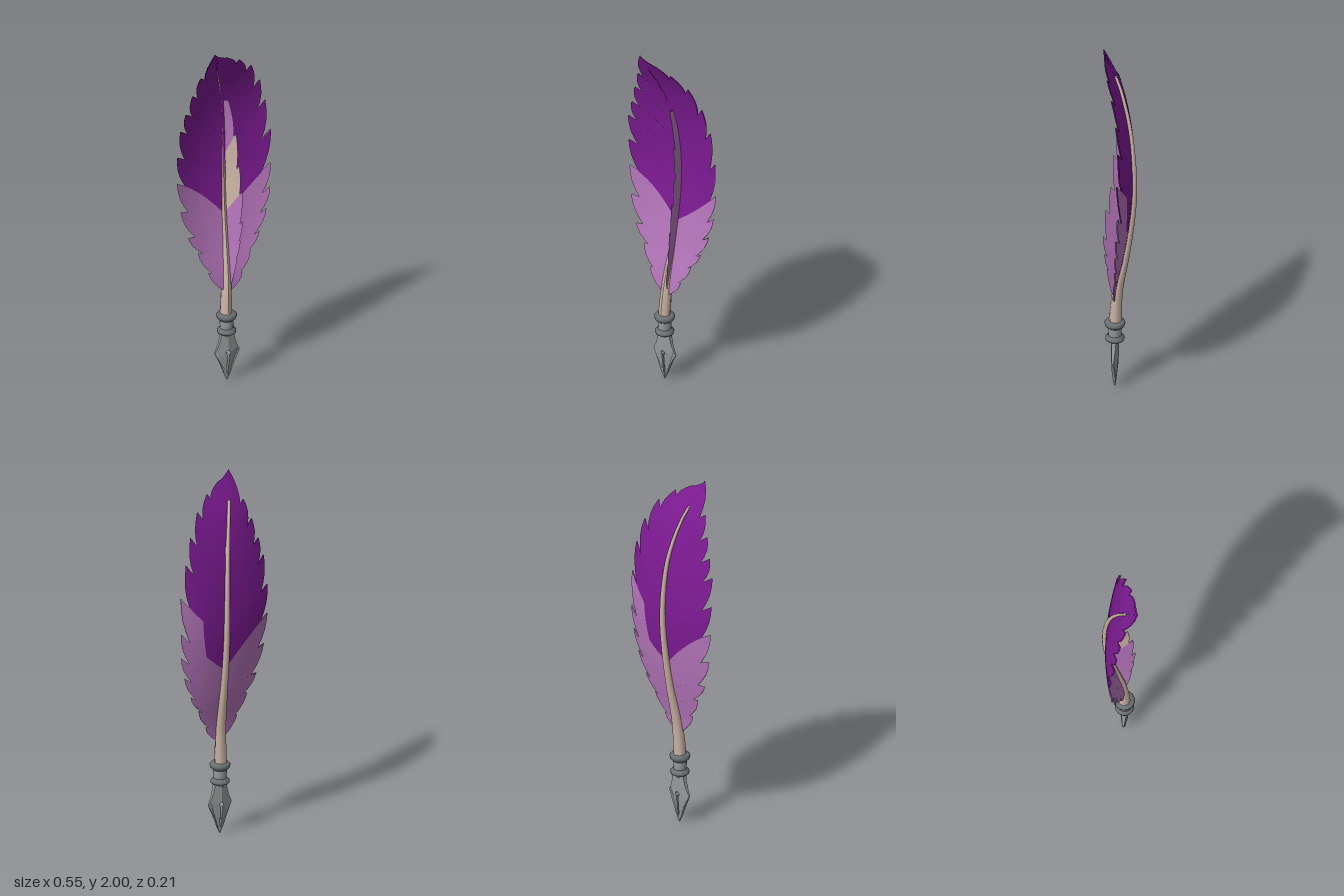
import * as THREE from 'three';
import { mergeGeometries } from 'three/addons/utils/BufferGeometryUtils.js';

// Spine of the feather, sampled every 0.2 from y = 0.2
const SPINE_X = [-0.01, -0.012, -0.004, 0.005, 0.01, 0.014, 0.01, -0.008, -0.05, -0.11];
const SPINE_Z = [0.02, 0.02, 0.005, -0.035, -0.066, -0.084, -0.08, -0.056, 0, 0.092];

function smooth(table, y) {
  const f = THREE.MathUtils.clamp((y - 0.2) / 0.2, 0, table.length - 1.001);
  const i = Math.floor(f), t = f - i, at = (k) => table[THREE.MathUtils.clamp(k, 0, table.length - 1)];
  const a = at(i), b = at(i + 1), m = (b - at(i - 1)) / 2, n = (at(i + 2) - a) / 2;
  return a + t * (m + t * (3 * (b - a) - 2 * m - n + t * (2 * (a - b) + m + n)));
}
const spineX = (y) => smooth(SPINE_X, y);
const spineZ = (y) => smooth(SPINE_Z, y);

// Cupped vane: towards the top the left half flattens and the right half comes forward
function vaneZ(x, y) {
  const d = x - spineX(y);
  const flat = THREE.MathUtils.clamp((1.9 - y) / 0.5, 0, 1);
  const forward = THREE.MathUtils.clamp((y - 1.3) / 0.4, 0, 1);
  const cup = d > 0 ? -0.08 * d + 0.75 * flat * d * d : 0.6 * d * d - 0.1 * forward * d;
  return spineZ(y) + 0.01 + cup;
}

// Barbs: tip offset, tip height, height where the upper edge leaves the spine
const RIGHT_BARBS = [
  [-0.11, 0.65, 0.6], [-0.16, 0.77, 0.68], [-0.215, 0.87, 0.78], [-0.255, 1.03, 0.87], [-0.272, 1.2, 0.95],
  [-0.274, 1.36, 1.1], [-0.264, 1.52, 1.25], [-0.237, 1.62, 1.38], [-0.205, 1.73, 1.5], [-0.168, 1.84, 1.66],
  [-0.112, 2, 1.99],
];
const LEFT_BARBS = [
  [0.085, 0.62, 0.6], [0.14, 0.73, 0.67], [0.195, 0.82, 0.75], [0.24, 0.94, 0.82], [0.265, 1.06, 0.89],
  [0.272, 1.2, 0.95], [0.272, 1.4, 1.12], [0.24, 1.58, 1.3], [0.2, 1.72, 1.48], [0.135, 1.84, 1.62],
  [0.05, 1.91, 1.76], [-0.03, 1.95, 1.99],
];
const FIN_BARBS = [
  [0.055, 0.74, 0.62], [0.066, 0.84, 0.7], [0.072, 0.95, 0.8], [0.058, 1.12, 0.95],
  [0.03, 1.26, 1.1], [0.018, 1.45, 1.28], [0.002, 1.65, 1.63],
];

// Surface patch from a rule fn(s, t)
function grid(fn, s0, s1, flip) {
  const nu = 4, nv = 4, pos = [], idx = [];
  for (let j = 0; j <= nv; j++) {
    for (let i = 0; i <= nu; i++) pos.push(...fn(s0 + ((s1 - s0) * i) / nu, j / nv));
  }
  for (let j = 0; j < nv; j++) {
    for (let i = 0; i < nu; i++) {
      const a = j * (nu + 1) + i, b = a + 1, c = b + nu + 1, d = a + nu + 1;
      if (flip) idx.push(a, c, b, a, d, c);
      else idx.push(a, b, c, a, c, d);
    }
  }
  const g = new THREE.BufferGeometry();
  g.setAttribute('position', new THREE.Float32BufferAttribute(pos, 3));
  g.setIndex(idx);
  g.computeVertexNormals();
  return g;
}

// Each barb starts on the previous barb's curved upper edge and ends in a free tip, leaving a slit
function barbRules(barbs, rootOf, start, bulge, sag) {
  const mix = (a, b, t) => [a[0] + (b[0] - a[0]) * t, a[1] + (b[1] - a[1]) * t];
  let previous = (s) => mix([rootOf(start[1]), start[1]], start, s);
  return barbs.map(([x, y, root]) => {
    const below = previous, rootPoint = [rootOf(root), root];
    const droop = sag * Math.min(1, Math.abs(x - rootPoint[0]) / 0.2);
    const upper = (s) => {
      const p = mix(rootPoint, [x, y], s);
      p[1] -= droop * s * (1 - s);
      return p;
    };
    previous = upper;
    return (s, t) => {
      const p = mix(below(0.82 * s), upper(s), t);
      p[0] += bulge * s * s * Math.sin(Math.PI * t);
      return p;
    };
  });
}

export function createModel() {
  const model = new THREE.Group();
  const material = (name, color, side) => {
    const m = new THREE.MeshStandardMaterial({ color, side });
    m.name = name;
    return m;
  };
  const darkPurple = material('dark purple', 0x7e1b94, THREE.DoubleSide);
  const lightPurple = material('light purple', 0xb676bc, THREE.DoubleSide);
  const ivory = material('ivory shaft', 0xcdb5a6, THREE.DoubleSide);
  const steel = material('steel', 0x989b9c, THREE.DoubleSide);
  const darkSteel = material('dark steel', 0x6c7375, THREE.DoubleSide);
  const add = (name, geometry, mat) => {
    const mesh = new THREE.Mesh(geometry, mat);
    mesh.name = name;
    model.add(mesh);
  };

  // Vanes: front and back skins, coloured barb by barb
  const dark = [], light = [];
  for (const [barbs, side, sag] of [[RIGHT_BARBS, -1, -0.1], [LEFT_BARBS, 1, 0.06]]) {
    barbRules(barbs, spineX, [side * 0.025, 0.53], side * 0.016, sag).forEach((rule, i) => {
      const skin = (lift) => (s, t) => {
        const [x, y] = rule(s, t);
        return [x, y, vaneZ(x, y) + lift];
      };
      const tipY = barbs[i][1], pale = tipY <= 1.2;
      const paleEdge = side > 0 && tipY < 1.5;
      for (const [s0, s1] of [[0, 0.55], [0.55, 1]]) {
        (pale ? light : dark).push(grid(skin(0.003), s0, s1, side < 0));
        (pale || (paleEdge && s0 > 0) ? light : dark).push(grid(skin(-0.003), s0, s1, side > 0));
      }
    });
  }
  add('upperVane', mergeGeometries(dark), darkPurple);
  add('lowerVane', mergeGeometries(light), lightPurple);

  // Narrow fringe standing forward of the shaft, leaning left, with an ivory stretch inside
  const fringe = [], fringeIvory = [];
  barbRules(FIN_BARBS, spineZ, [0.03, 0.55], 0.006, 0).forEach((rule, i) => {
    const skin = (shift) => (s, t) => {
      const [z, y] = rule(s, t);
      return [spineX(y) + 0.01 + 0.3 * (z - spineZ(y)) + shift, y, z];
    };
    const isIvory = i === 4 || i === 5;
    (isIvory ? fringeIvory : fringe).push(grid(skin(-0.002), 0, 1, false));
    fringe.push(grid(skin(0.002), 0, 1, true));
  });
  add('frontFringe', mergeGeometries(fringe), lightPurple);
  add('frontFringeInner', mergeGeometries(fringeIvory), ivory);

  // Tapered shaft bent along the spine
  const shaft = new THREE.CylinderGeometry(1, 1, 1.5, 8, 24);
  shaft.translate(0, 1.11, 0);
  const sp = shaft.attributes.position;
  for (let i = 0; i < sp.count; i++) {
    const y = sp.getY(i);
    const r = y < 0.85 ? THREE.MathUtils.mapLinear(y, 0.36, 0.85, 0.035, 0.02)
      : THREE.MathUtils.mapLinear(y, 0.85, 1.86, 0.02, 0.008);
    sp.setXYZ(i, spineX(y) + sp.getX(i) * r, y, spineZ(y) + sp.getZ(i) * r);
  }
  shaft.computeVertexNormals();
  add('shaft', shaft, ivory);

  // Ferrule with two collars
  const lathe = (points) =>
    new THREE.LatheGeometry(points.map(([r, y]) => new THREE.Vector2(r, y)), 16).translate(-0.01, 0, 0.022);
  add('ferrule', lathe([[0.001, 0.25], [0.018, 0.26], [0.034, 0.29], [0.036, 0.34], [0.038, 0.39]]), steel);
  add('lowerCollar', lathe([[0.034, 0.28], [0.049, 0.287], [0.051, 0.3], [0.036, 0.315]]), darkSteel);
  add('upperCollar', lathe([[0.036, 0.36], [0.051, 0.373], [0.055, 0.39], [0.045, 0.402], [0.02, 0.402]]), darkSteel);

  // Nib: a plate thick along its middle and thin at its edges, with a breather hole and slit
  const plate = new THREE.Shape();
  plate.moveTo(0, 0);
  plate.lineTo(0.02, 0.045);
  plate.quadraticCurveTo(0.035, 0.1, 0.072, 0.17);
  plate.quadraticCurveTo(0.042, 0.22, 0.034, 0.29);
  plate.lineTo(0, 0.295);
  plate.lineTo(-0.034, 0.29);
  plate.quadraticCurveTo(-0.042, 0.22, -0.072, 0.17);
  plate.quadraticCurveTo(-0.035, 0.1, -0.02, 0.045);
  plate.closePath();
  const slit = new THREE.Path();
  slit.moveTo(-0.003, 0.04);
  slit.lineTo(-0.006, 0.155);
  slit.absarc(0, 0.168, 0.013, Math.PI * 1.35, -Math.PI * 0.35, true);
  slit.lineTo(0.003, 0.04);
  plate.holes.push(slit);
  const nib = new THREE.ExtrudeGeometry(plate, { depth: 1, bevelEnabled: false, curveSegments: 5 });
  const np = nib.attributes.position;
  for (let i = 0; i < np.count; i++) {
    const x = np.getX(i), y = np.getY(i);
    const half = Math.min(1, 0.1 + y / 0.16) * (0.021 - 0.018 * Math.abs(x) / 0.072);
    np.setXYZ(i, x - 0.008, y, 0.022 + (np.getZ(i) * 2 - 1) * half);
  }
  nib.computeVertexNormals();
  add('nib', nib, steel);

  return model;
}
